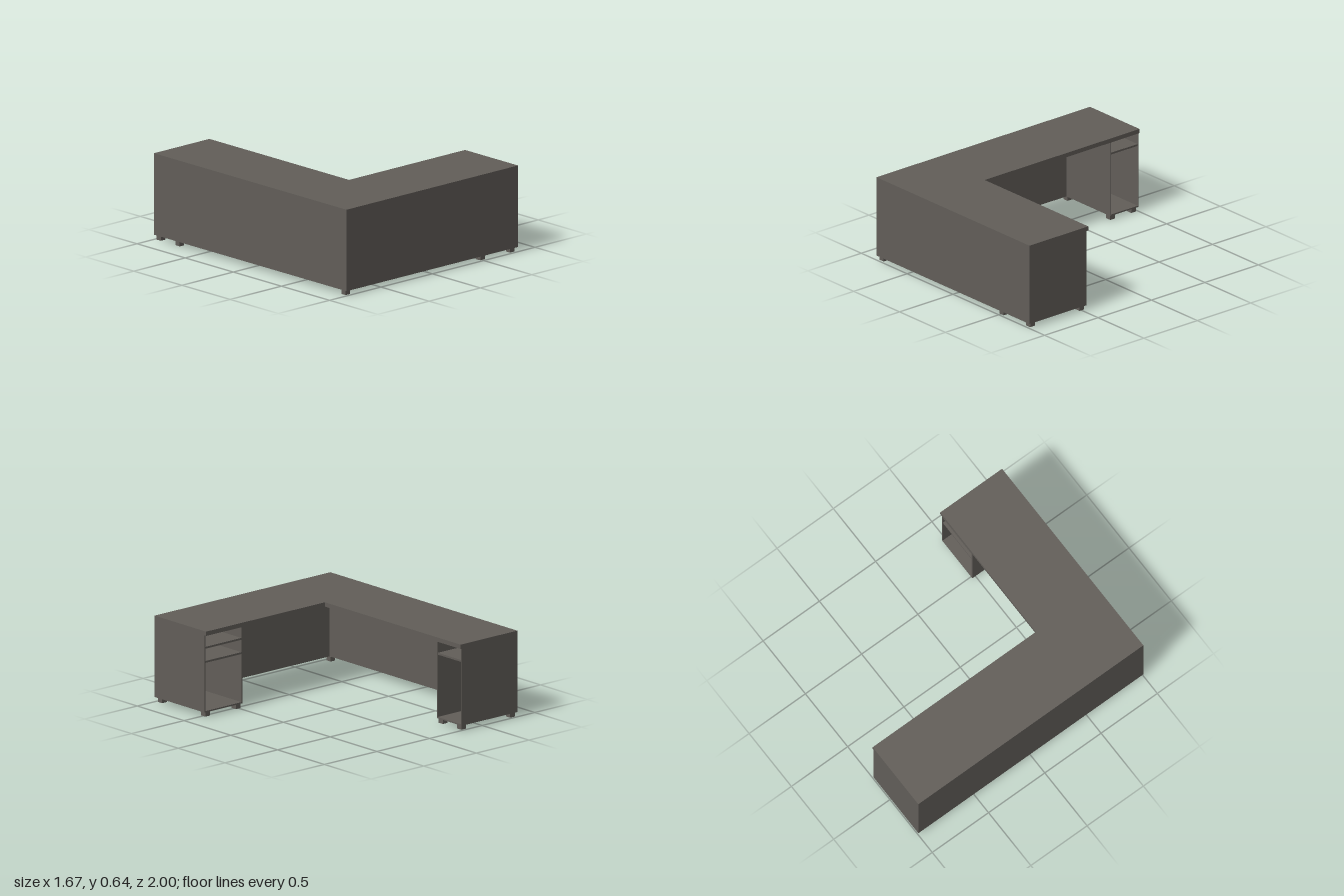
import * as THREE from 'three';

const wood = new THREE.MeshStandardMaterial({ color: 0x625e59 });
wood.name = 'grey brown wood';

const X = 0.835, Z = 1;          // outer half sizes
const FLOOR = 0.035, UNDER = 0.605, TOP = 0.637;
const WALL = 0.05, T = 0.008;    // thick outer walls, thin cabinet boards

// Box given by its min and max corners
function box(parent, name, [x0, y0, z0], [x1, y1, z1]) {
  const mesh = new THREE.Mesh(new THREE.BoxGeometry(x1 - x0, y1 - y0, z1 - z0), wood);
  mesh.position.set((x0 + x1) / 2, (y0 + y1) / 2, (z0 + z1) / 2);
  mesh.name = name;
  parent.add(mesh);
}

// Open cabinet: width runs along local x from 0 to w, open side at local z = 0, depth along +z
function cabinet(name, w, depth, shelfHeights) {
  const g = new THREE.Group();
  g.name = name;
  box(g, 'innerSide', [0, FLOOR, 0], [T, UNDER, depth]);
  box(g, 'endPanel', [w - T, FLOOR, 0], [w, UNDER, depth]);
  box(g, 'cabinetFloor', [T, FLOOR, 0], [w - T, FLOOR + 0.01, depth]);
  for (const y of shelfHeights) box(g, 'shelf', [T, y, 0.003], [w - T, y + 0.014, depth]);
  return g;
}

export function createModel() {
  const desk = new THREE.Group();
  desk.name = 'cornerDesk';

  // L-shaped top, drawn in x and -z
  const shape = new THREE.Shape([
    [-X, -Z], [X, -Z], [X, -0.45], [-0.295, -0.45], [-0.295, Z], [-X, Z],
  ].map(([x, y]) => new THREE.Vector2(x, y)));
  const topGeometry = new THREE.ExtrudeGeometry(shape, { depth: TOP - UNDER, bevelEnabled: false });
  topGeometry.rotateX(-Math.PI / 2);
  const top = new THREE.Mesh(topGeometry, wood);
  top.position.y = UNDER;
  top.name = 'deskTop';
  desk.add(top);

  // Outer walls
  box(desk, 'frontWall', [-X, FLOOR, Z - WALL], [X, UNDER, Z]);
  box(desk, 'sideWall', [-X, FLOOR, -Z], [-X + WALL, UNDER, Z - WALL]);

  // Cabinet at the end of the front wing, open to the back
  const front = cabinet('frontWingCabinet', 0.36, Z - WALL - 0.465, [0.505, 0.4]);
  front.position.set(X - 0.36, 0, 0.465);
  desk.add(front);

  // Cabinet at the end of the side wing, open to the inside
  const side = cabinet('sideWingCabinet', 0.265, X - WALL - 0.305, [0.505]);
  side.rotation.y = -Math.PI / 2;
  side.scale.x = -1;
  side.position.set(-0.305, 0, -0.735);
  desk.add(side);

  // Square feet under both cabinets and the corner
  const feet = [[-0.803, 0.958]];
  for (const x of [0.508, 0.798]) for (const z of [0.497, 0.958]) feet.push([x, z]);
  for (const x of [-0.803, -0.338]) for (const z of [-0.765, -0.962]) feet.push([x, z]);
  const h = 0.022;
  for (const [x, z] of feet) box(desk, 'foot', [x - h, 0, z - h], [x + h, FLOOR, z + h]);

  return desk;
}
